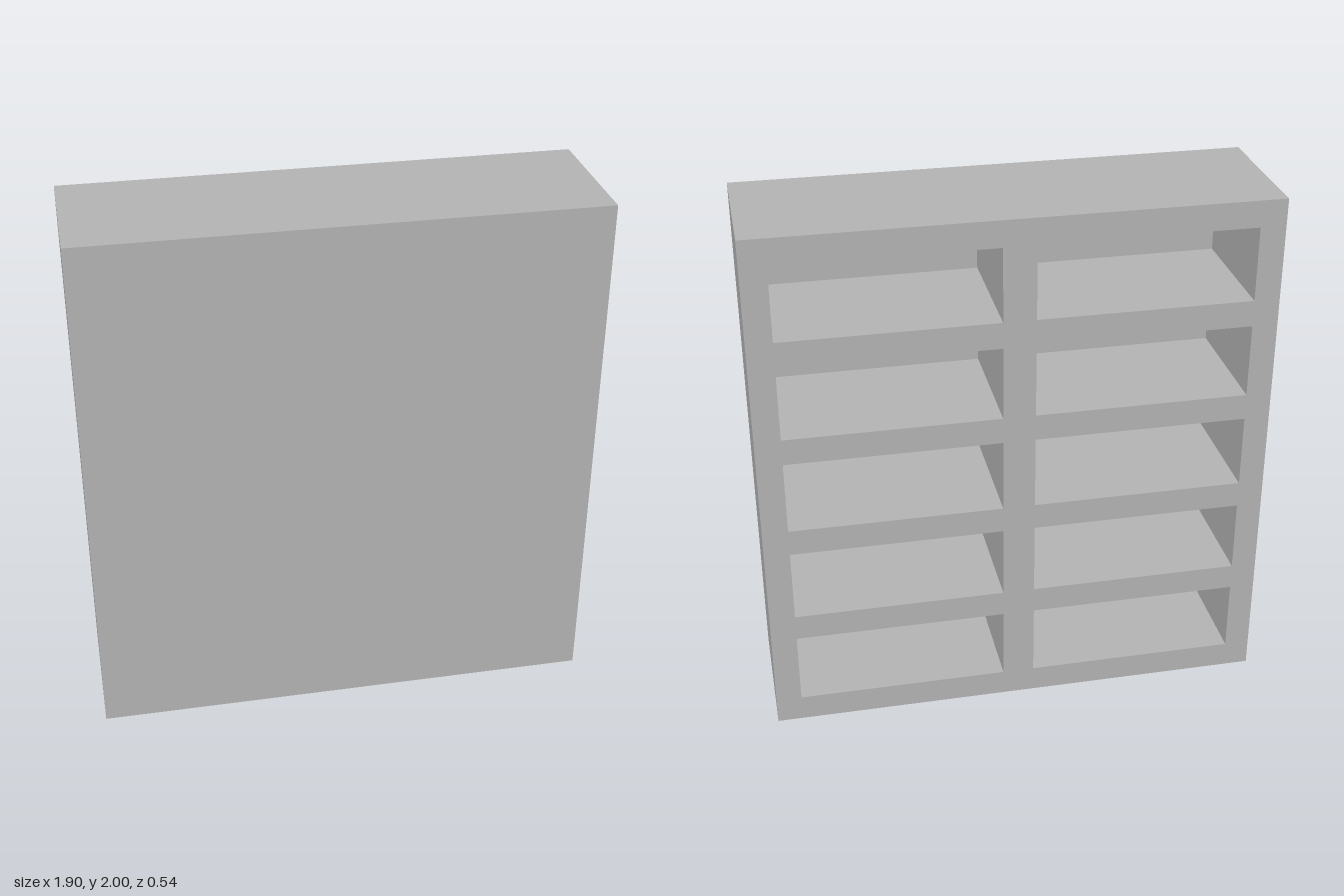
import * as THREE from 'three';

const W = 1.9, H = 2, D = 0.544;      // outer size
const PANEL = 0.055;                  // closed front panel
const SIDE = 0.095, DIVIDER = 0.12;   // uprights
const ROWS = 5, SHELF = 0.1;          // horizontal boards

export function createModel() {
  const model = new THREE.Group();
  model.name = 'shelfUnit';
  const grey = new THREE.MeshStandardMaterial({ color: 0xb2b2b2 });
  grey.name = 'grey';

  const rect = (path, x, y, w, h) => {
    path.moveTo(x, y);
    path.lineTo(x + w, y);
    path.lineTo(x + w, y + h);
    path.lineTo(x, y + h);
    path.closePath();
    return path;
  };

  // Frame with two columns of compartments, open at the back
  const outline = rect(new THREE.Shape(), -W / 2, 0, W, H);
  const holeW = (W - 2 * SIDE - DIVIDER) / 2;
  const holeH = (H - SHELF * (ROWS + 1)) / ROWS;
  for (const x of [-W / 2 + SIDE, DIVIDER / 2]) {
    for (let row = 0; row < ROWS; row++) {
      const y = SHELF + row * (holeH + SHELF);
      outline.holes.push(rect(new THREE.Path(), x, y, holeW, holeH));
    }
  }
  const frame = new THREE.Mesh(
    new THREE.ExtrudeGeometry(outline, { depth: D - PANEL, bevelEnabled: false }), grey);
  frame.name = 'compartmentFrame';
  frame.position.z = -D / 2;
  model.add(frame);

  // Solid panel closing the front
  const panel = new THREE.Mesh(new THREE.BoxGeometry(W, H, PANEL), grey);
  panel.name = 'frontPanel';
  panel.position.set(0, H / 2, D / 2 - PANEL / 2);
  model.add(panel);

  return model;
}
